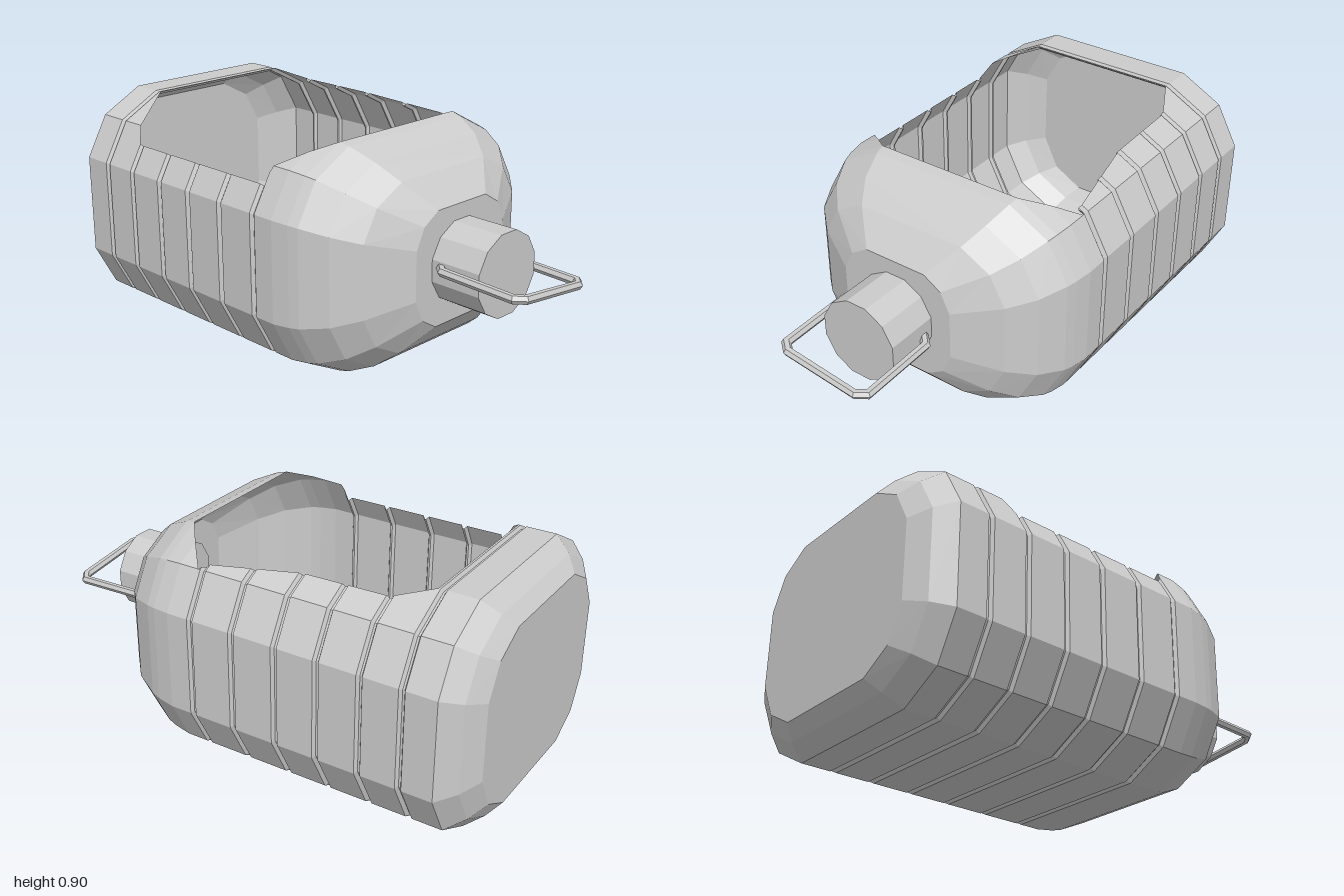
import * as THREE from 'three';

const MID = 0.45; // height of the bottle axis

// Half cross-section (z, y) from the top corner down to the bottom corner
const HALF = [[0.31, 0.9], [0.48, 0.81], [0.57, 0.65], [0.57, 0.26], [0.48, 0.09], [0.31, 0]];

// Opening rim as (x, t): t walks down the half section, 0 = top corner, 1 = second corner
const FRONT_RIM = [[-0.74, 0], [-0.65, 1], [-0.61, 1.4], [0.1, 1.4], [0.12, 1], [0.27, 0]];
const BACK_RIM = [[-0.74, 0], [-0.6, 0.42], [-0.26, 0.46], [0.1, 0.85], [0.12, 1], [0.27, 0]];
const CUT_START = -0.74, CUT_END = 0.27;

function rimAt(rim, x) {
  for (let i = 0; i < rim.length - 1; i++) {
    const [x0, t0] = rim[i], [x1, t1] = rim[i + 1];
    if (x >= x0 && x <= x1) return t0 + (t1 - t0) * (x - x0) / (x1 - x0);
  }
  return 0;
}

function along(t) {
  const i = Math.floor(t), f = t - i, a = HALF[i], b = HALF[i + 1];
  return [a[0] + (b[0] - a[0]) * f, a[1] + (b[1] - a[1]) * f];
}

// Half section with its upper corners slid down to the rim
function halfRing(rim, x) {
  const t = rimAt(rim, x);
  return [along(t), along(Math.max(1, t)), ...HALF.slice(2)];
}

// Stations along the body: x, z scale, y scale
function stations() {
  const list = [
    [-1, 0.75, 0.78], [-0.955, 0.89, 0.89], [-0.89, 1, 1],
    [-0.74, 1, 1], [-0.65, 1, 1],
    [0.12, 1, 1], [0.2, 1, 1], [0.27, 0.98, 0.98], [0.31, 0.96, 0.96],
    [0.41, 0.87, 0.86], [0.49, 0.72, 0.72], [0.58, 0.42, 0.49],
  ];
  for (const g of [-0.76, -0.6, -0.43, -0.26, -0.08, 0.1]) {
    list.push([g - 0.012, 1, 1], [g - 0.004, 0.977, 0.972], [g + 0.004, 0.977, 0.972], [g + 0.012, 1, 1]);
  }
  return list.sort((a, b) => a[0] - b[0]);
}

function bodyGeometry() {
  const rings = stations().map(([x, sz, sy]) => {
    const front = halfRing(FRONT_RIM, x);
    const back = halfRing(BACK_RIM, x).map(([z, y]) => [-z, y]).reverse();
    return [...front, ...back].map(([z, y]) => new THREE.Vector3(x, MID + (y - MID) * sy, z * sz));
  });
  const pos = [];
  const tri = (a, b, c) => {
    const area = b.clone().sub(a).cross(c.clone().sub(a)).length();
    if (area > 1e-8) for (const p of [a, b, c]) pos.push(p.x, p.y, p.z);
  };
  const n = rings[0].length;
  for (let j = 0; j < rings.length - 1; j++) {
    const p = rings[j], q = rings[j + 1];
    const open = p[0].x >= CUT_START - 1e-6 && q[0].x <= CUT_END + 1e-6;
    for (let i = 0; i < n; i++) {
      if (open && i === n - 1) continue; // no top panel over the opening
      const k = (i + 1) % n;
      tri(p[i], p[k], q[i]);
      tri(p[k], q[k], q[i]);
    }
  }
  // Flat ends
  const first = rings[0], last = rings[rings.length - 1];
  for (let i = 0; i < n; i++) {
    const k = (i + 1) % n;
    tri(new THREE.Vector3(first[0].x, MID, 0), first[k], first[i]);
    tri(new THREE.Vector3(last[0].x, MID, 0), last[i], last[k]);
  }
  const g = new THREE.BufferGeometry();
  g.setAttribute('position', new THREE.Float32BufferAttribute(pos, 3));
  g.computeVertexNormals();
  return g;
}

// Straight-sided wire through the given points, with mitred corners
function wireGeometry(points, radius, sides) {
  const pos = [], index = [];
  const up = new THREE.Vector3(0, 1, 0);
  points.forEach((p, i) => {
    const a = p.clone().sub(points[Math.max(i - 1, 0)]).normalize();
    const b = points[Math.min(i + 1, points.length - 1)].clone().sub(p).normalize();
    const dir = a.clone().add(b).normalize();
    const side = dir.clone().cross(up).normalize();
    const miter = 1 / Math.max(0.5, dir.dot(i ? a : b));
    for (let s = 0; s < sides; s++) {
      const ang = (s / sides) * Math.PI * 2;
      const v = p.clone().addScaledVector(side, Math.cos(ang) * radius * miter).addScaledVector(up, Math.sin(ang) * radius);
      pos.push(v.x, v.y, v.z);
      if (i < points.length - 1) {
        const r = i * sides, t = (s + 1) % sides;
        index.push(r + s, r + t, r + sides + s, r + t, r + sides + t, r + sides + s);
      }
    }
  });
  const g = new THREE.BufferGeometry();
  g.setAttribute('position', new THREE.Float32BufferAttribute(pos, 3));
  g.setIndex(index);
  g.computeVertexNormals();
  return g;
}

export function createModel() {
  const group = new THREE.Group();
  const material = new THREE.MeshStandardMaterial({ color: 0xcccccc, flatShading: true, side: THREE.DoubleSide });
  const add = (name, geometry) => {
    const mesh = new THREE.Mesh(geometry, material);
    mesh.name = name;
    group.add(mesh);
    return mesh;
  };

  // Ribbed bottle lying on its side, cut open on top
  add('bottleBody', bodyGeometry());

  // Capped neck
  const neck = new THREE.CylinderGeometry(0.162, 0.162, 0.22, 12);
  neck.rotateY(Math.PI / 12).rotateZ(-Math.PI / 2);
  add('neckCap', neck).position.set(0.68, 0.454, 0);

  // Wire loop around the neck, slightly tilted
  const half = [[0.615, 0.15], [0.65, 0.185], [0.955, 0.185], [0.983, 0.15]];
  const loop = [...half, ...half.map(([x, z]) => [x, -z]).reverse()];
  const path = loop.map(([x, z]) => new THREE.Vector3(x, 0.455 + z * 0.12 - (x - 0.6) * 0.03, z));
  add('hangingLoop', wireGeometry(path, 0.017, 6));

  return group;
}
